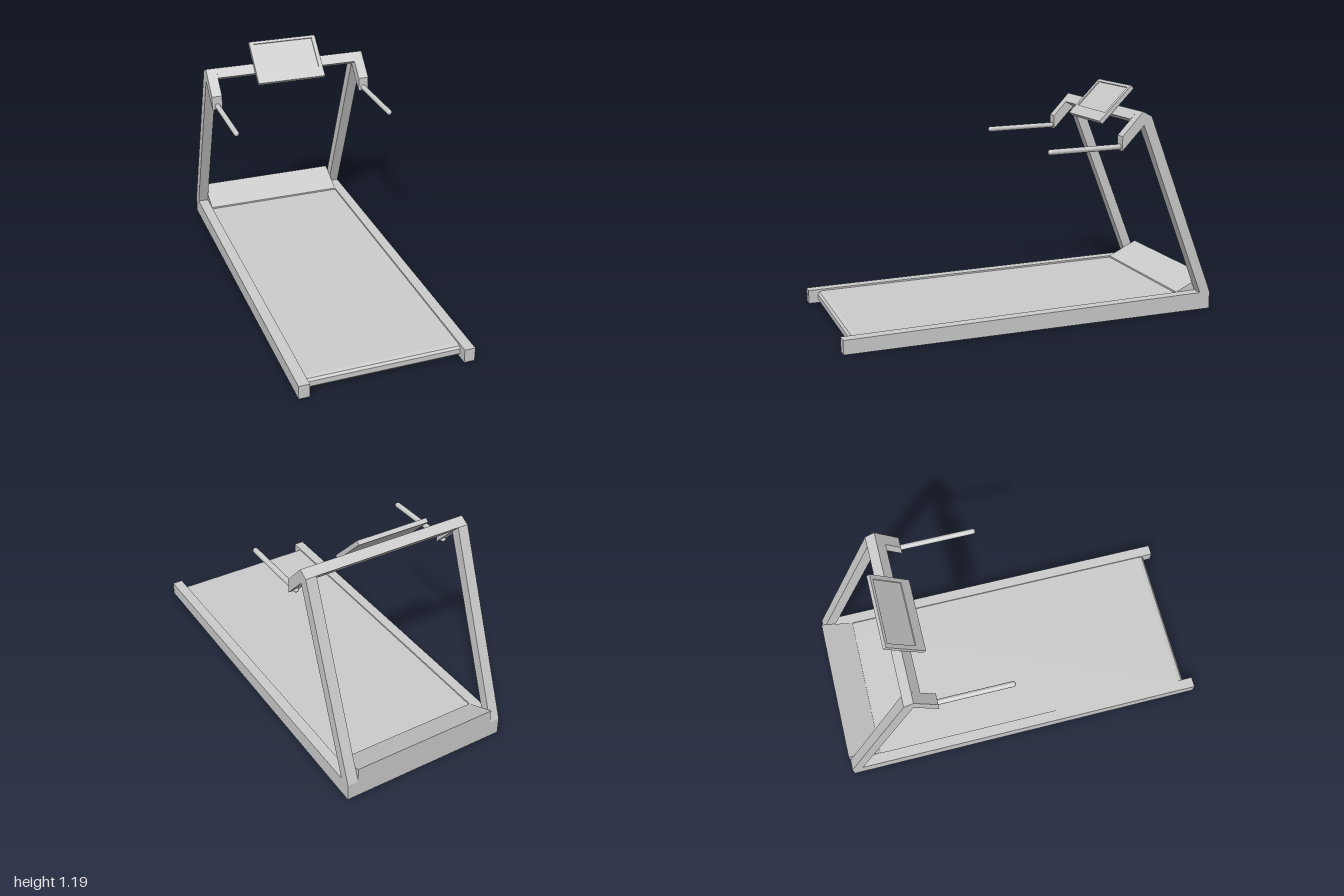
import * as THREE from 'three';

const grey = new THREE.MeshStandardMaterial({ color: 0xcccccc });

// Extrude a side profile of [z, y] points across x from x0 to x1
function sideExtrude(name, points, x0, x1) {
  const shape = new THREE.Shape(points.map(([z, y]) => new THREE.Vector2(-z, y)));
  const geo = new THREE.ExtrudeGeometry(shape, { depth: x1 - x0, bevelEnabled: false });
  geo.rotateY(Math.PI / 2); // shape x becomes -z, depth becomes +x
  geo.translate(x0, 0, 0);
  const mesh = new THREE.Mesh(geo, grey);
  mesh.name = name;
  return mesh;
}

function box(name, w, h, d, x, y, z) {
  const mesh = new THREE.Mesh(new THREE.BoxGeometry(w, h, d), grey);
  mesh.position.set(x, y, z);
  mesh.name = name;
  return mesh;
}

function rectPath(Type, w, h) {
  return new Type([[-w, -h], [w, -h], [w, h], [-w, h]].map(([x, y]) => new THREE.Vector2(x / 2, y / 2)));
}

export function createModel() {
  const model = new THREE.Group();
  model.name = 'treadmill';
  const inner = 0.4, outer = 0.457;

  // Side frames: rail, leaning upright and forward arm in one bent profile
  const frame = [
    [1, 0], [1, 0.073], [-0.94, 0.093], [-0.575, 1.015], [-0.455, 0.89],
    [-0.455, 0.965], [-0.568, 1.086], [-0.618, 1.06], [-1, 0.093], [-1, 0],
  ];
  model.add(sideExtrude('leftFrame', frame, inner, outer));
  model.add(sideExtrude('rightFrame', frame, -outer, -inner));

  // Crossbar between the uprights
  model.add(sideExtrude('crossbar',
    [[-0.568, 1.086], [-0.526, 1.043], [-0.575, 1.015], [-0.618, 1.06]], -inner, inner));

  // Running deck with a rounded front edge
  model.add(sideExtrude('runningDeck', [
    [0.92, 0.065], [0.94, 0.06], [0.95, 0.048], [0.95, 0.02], [0.935, 0.003],
    [0.92, 0.001], [-0.92, 0.001], [-0.92, 0.084],
  ], -inner, inner));

  // Motor hood with its back panel
  model.add(sideExtrude('motorHood', [
    [-1, 0], [-1, 0.172], [-0.83, 0.092], [-0.83, 0.07], [-0.945, 0.07], [-0.945, 0],
  ], -inner, inner));

  // Handles with rounded ends
  for (const side of [-1, 1]) {
    const handle = new THREE.Mesh(new THREE.CapsuleGeometry(0.0145, 0.4, 6, 16), grey);
    handle.name = side > 0 ? 'leftHandle' : 'rightHandle';
    handle.position.set(side * 0.427, 0.906, -0.274);
    handle.rotation.x = Math.PI / 2 + 0.015;
    model.add(handle);
  }

  // Tilted console: back plate, raised rim and recessed screen
  const console_ = new THREE.Group();
  console_.name = 'console';
  const width = 0.386, height = 0.256, thick = 0.023, recess = 0.006;
  console_.add(box('consoleBack', width, height, thick - recess, 0, 0, -recess / 2));
  const rim = rectPath(THREE.Shape, width, height);
  const hole = rectPath(THREE.Path, 0.34, 0.18);
  hole.curves.forEach((c) => { c.v1.y += 0.022; c.v2.y += 0.022; });
  rim.holes.push(hole);
  const rimMesh = new THREE.Mesh(
    new THREE.ExtrudeGeometry(rim, { depth: recess, bevelEnabled: false }), grey);
  rimMesh.name = 'consoleRim';
  rimMesh.position.z = thick / 2 - recess;
  console_.add(rimMesh);
  console_.position.set(0.003, 1.092, -0.551);
  console_.rotation.x = -Math.PI / 4;
  model.add(console_);

  return model;
}
